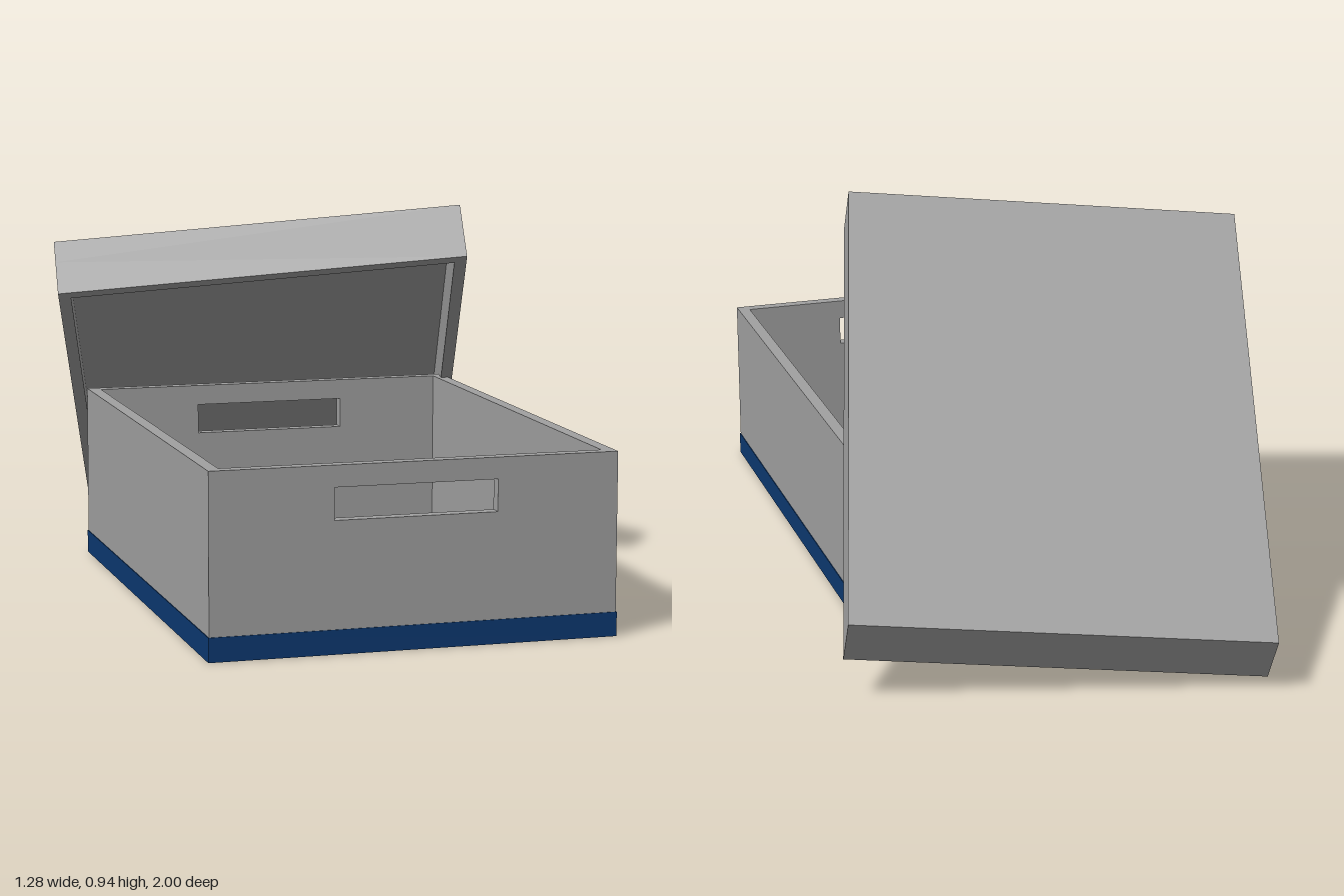
import * as THREE from 'three';

const grey = new THREE.MeshStandardMaterial({ name: 'grey board', color: 0xa0a0a0 });
const blue = new THREE.MeshStandardMaterial({ name: 'navy band', color: 0x0c3870 });

function rect(target, w, h, cx = 0, cy = 0) {
  const x = w / 2, y = h / 2;
  target.moveTo(cx - x, cy - y);
  target.lineTo(cx + x, cy - y);
  target.lineTo(cx + x, cy + y);
  target.lineTo(cx - x, cy + y);
  target.closePath();
  return target;
}

function add(parent, name, geometry, material, x = 0, y = 0, z = 0) {
  const mesh = new THREE.Mesh(geometry, material);
  mesh.name = name;
  mesh.position.set(x, y, z);
  parent.add(mesh);
  return mesh;
}

// Upright rectangular ring standing on y = 0
function ring(w, d, innerW, innerD, height) {
  const shape = rect(new THREE.Shape(), w, d);
  shape.holes.push(rect(new THREE.Path(), innerW, innerD));
  return new THREE.ExtrudeGeometry(shape, { depth: height, bevelEnabled: false }).rotateX(-Math.PI / 2);
}

function makeBox() {
  const box = new THREE.Group();
  box.name = 'box';
  const W = 0.966, H = 0.432, D = 1.28, T = 0.03;

  // End walls with a hand slot
  const end = rect(new THREE.Shape(), W, H, 0, H / 2);
  end.holes.push(rect(new THREE.Path(), 0.387, 0.075, 0, 0.344));
  const endGeometry = new THREE.ExtrudeGeometry(end, { depth: T, bevelEnabled: false });
  add(box, 'frontWall', endGeometry, grey, 0, 0, D / 2 - T);
  add(box, 'backWall', endGeometry, grey, 0, 0, -D / 2);

  // Side walls and floor
  for (const [name, s] of [['leftWall', 1], ['rightWall', -1]]) {
    add(box, name, new THREE.BoxGeometry(T, H, D - 2 * T), grey, s * (W - T) / 2, H / 2, 0);
  }
  add(box, 'floor', new THREE.BoxGeometry(W - 2 * T, T, D - 2 * T), grey, 0, T / 2, 0);

  // Thin painted band around the foot
  add(box, 'footBand', ring(W + 0.004, D + 0.004, W, D, 0.057), blue);
  box.position.set(0.003, 0, 0.36);
  return box;
}

function makeLid() {
  const lid = new THREE.Group();
  lid.name = 'lid';
  const W = 1.003, D = 1.335, H = 0.142, T = 0.03, depth = 0.086;

  // Hollow rim under a solid top panel
  add(lid, 'lidRim', ring(W, D, W - 2 * T, D - 2 * T, depth), grey, 0, -H, 0);
  add(lid, 'lidTop', new THREE.BoxGeometry(W, H - depth, D), grey, 0, -(H - depth) / 2, 0);

  // Lean the lid from the floor behind over the back edge of the box
  const x = new THREE.Vector3(0.976, 0.086, 0.215).normalize();
  const z = new THREE.Vector3(-0.303, 0.714, 1.087).normalize();
  const y = new THREE.Vector3().crossVectors(z, x).normalize();
  z.crossVectors(x, y);
  lid.quaternion.setFromRotationMatrix(new THREE.Matrix4().makeBasis(x, y, z));
  lid.position.set(0.002, 0.54, -0.349);
  return lid;
}

export function createModel() {
  const model = new THREE.Group();
  model.name = 'storageBox';
  model.add(makeBox(), makeLid());
  return model;
}
